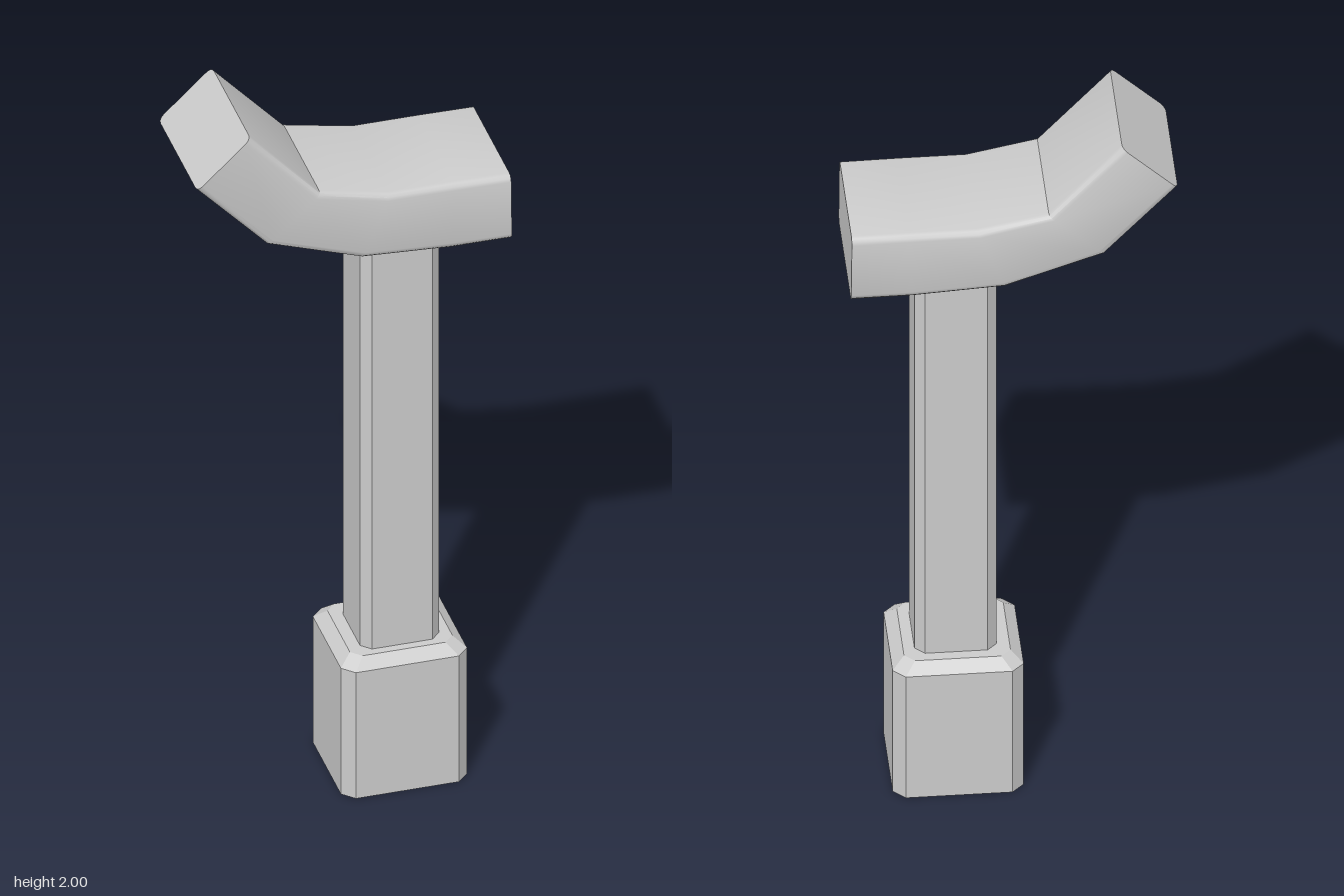
import * as THREE from 'three';
import { toCreasedNormals } from 'three/addons/utils/BufferGeometryUtils.js';

const grey = new THREE.MeshStandardMaterial({ color: 0xcccccc });

// Counter-clockwise [u, v] rectangle outline with cut (steps = 1) or rounded corners
function outline(w, h, r, steps) {
  const pts = [];
  [[1, 1], [-1, 1], [-1, -1], [1, -1]].forEach(([su, sv], k) => {
    for (let i = 0; i <= steps; i++) {
      const a = (k + i / steps) * Math.PI / 2;
      pts.push([su * (w / 2 - r) + r * Math.cos(a), sv * (h / 2 - r) + r * Math.sin(a)]);
    }
  });
  return pts;
}

// Skin a list of rings and close both ends
function loft(name, rings, crease) {
  const n = rings[0].length, last = rings.length - 1, index = [];
  for (let i = 0; i < last; i++) {
    for (let j = 0; j < n; j++) {
      const a = i * n + j, b = i * n + (j + 1) % n;
      index.push(a, b, b + n, a, b + n, a + n);
    }
  }
  for (let j = 1; j < n - 1; j++) {
    index.push(0, j + 1, j);
    index.push(last * n, last * n + j, last * n + j + 1);
  }
  const geo = new THREE.BufferGeometry().setFromPoints(rings.flat());
  geo.setIndex(index);
  const mesh = new THREE.Mesh(toCreasedNormals(geo, crease), grey);
  mesh.name = name;
  return mesh;
}

// Upright post with cut corners; levels are [y, width x, depth z, corner cut]
function post(name, cx, cz, levels) {
  return loft(name, levels.map(([y, w, d, c]) =>
    outline(d, w, c, 1).map(([u, v]) => new THREE.Vector3(cx + v, y, cz + u))), 0.1);
}

export function createModel() {
  const model = new THREE.Group();

  // Pommel with a bevelled top
  model.add(post('pommel', 0.132, 0.022, [
    [0, 0.326, 0.304, 0.03], [0.373, 0.326, 0.304, 0.03], [0.4, 0.265, 0.245, 0.025],
  ]));

  // Handle, running up into the head
  model.add(post('handle', 0.134, 0.025, [
    [0.38, 0.204, 0.194, 0.024], [1.66, 0.204, 0.194, 0.024],
  ]));

  // Bent head: cross-sections from bottom point to top point, from raised tip to flat end
  const sections = [
    [-0.408, 1.87, -0.27, 2.0],
    [-0.226, 1.675, -0.088, 1.802],
    [0.02, 1.59, 0.09, 1.766],
    [0.25, 1.576, 0.26, 1.766],
    [0.405, 1.575, 0.403, 1.764],
  ];
  model.add(loft('head', sections.map(([bx, by, tx, ty]) => {
    const len = Math.hypot(tx - bx, ty - by);
    return outline(len, 0.34, 0.018, 3).map(([u, v]) => {
      const t = 0.5 + u / len;
      return new THREE.Vector3(bx + (tx - bx) * t, by + (ty - by) * t, v - 0.005);
    });
  }), 0.58));

  return model;
}
